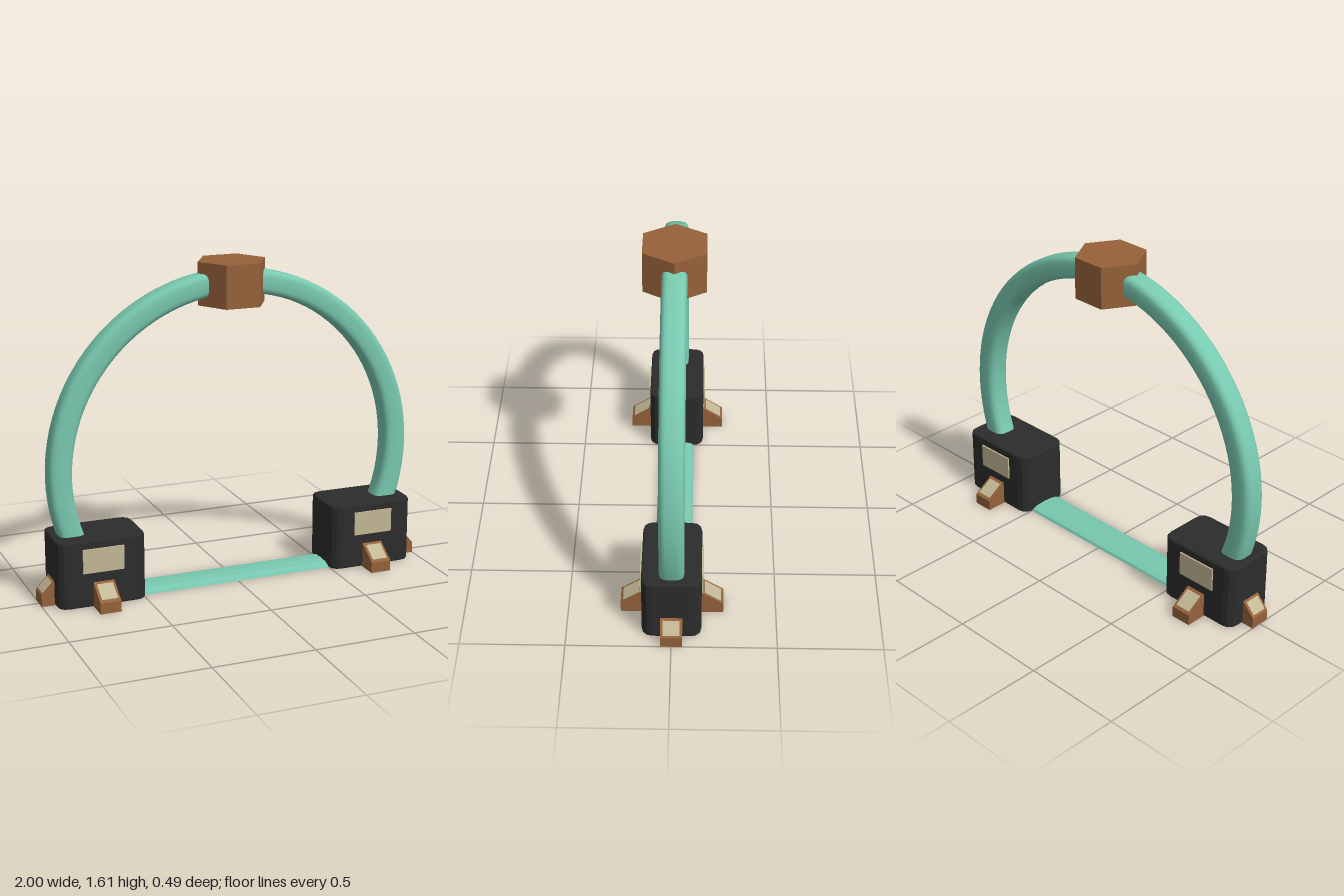
import * as THREE from 'three';

const mat = (name, color) => {
  const m = new THREE.MeshStandardMaterial({ color });
  m.name = name;
  return m;
};

export function createModel() {
  const teal = mat('teal', 0x78c8b0);
  const charcoal = mat('charcoal', 0x2c2c2c);
  const copper = mat('copper', 0x96623a);
  const cream = mat('cream', 0xc4b896);

  const model = new THREE.Group();
  model.name = 'archGate';
  const add = (parent, name, geometry, material, x = 0, y = 0, z = 0) => {
    const mesh = new THREE.Mesh(geometry, material);
    mesh.name = name;
    mesh.position.set(x, y, z);
    parent.add(mesh);
    return mesh;
  };

  // Arch: rounded-square section swept around most of a circle
  const section = [];
  const soften = (v) => Math.sign(v) * Math.pow(Math.abs(v), 0.6);
  for (let i = 0; i <= 24; i++) {
    const a = -Math.PI + (i / 24) * Math.PI * 2;
    section.push(new THREE.Vector2(0.885 + 0.06 * soften(Math.cos(a)), 0.06 * soften(Math.sin(a))));
  }
  const sweep = 2.28;
  const archGeo = new THREE.LatheGeometry(section, 72, -sweep, sweep * 2);
  archGeo.rotateX(-Math.PI / 2);
  add(model, 'arch', archGeo, teal, 0, 0.62, 0);

  // Hexagonal block at the crown
  const hex = new THREE.CylinderGeometry(0.173, 0.173, 0.21, 6).toNonIndexed();
  hex.computeVertexNormals();
  hex.rotateY(Math.PI / 6);
  add(model, 'crownBlock', hex, copper, 0, 1.5, 0);

  // Low threshold strip between the bases
  const strip = new THREE.Shape();
  strip.moveTo(-0.092, 0);
  strip.lineTo(0.092, 0);
  strip.lineTo(0.085, 0.012);
  strip.lineTo(0.058, 0.021);
  strip.lineTo(0, 0.025);
  strip.lineTo(-0.058, 0.021);
  strip.lineTo(-0.085, 0.012);
  strip.closePath();
  const stripGeo = new THREE.ExtrudeGeometry(strip, { depth: 1.1, bevelEnabled: false });
  stripGeo.translate(0, 0, -0.55);
  stripGeo.rotateY(Math.PI / 2);
  add(model, 'threshold', stripGeo, teal);

  // Base housing: rounded plan extruded upwards with a slight bevel
  const w = 0.21, d = 0.132, r = 0.045, b = 0.01;
  const plan = new THREE.Shape();
  plan.moveTo(-w + r, -d);
  plan.lineTo(w - r, -d);
  plan.quadraticCurveTo(w, -d, w, -d + r);
  plan.lineTo(w, d - r);
  plan.quadraticCurveTo(w, d, w - r, d);
  plan.lineTo(-w + r, d);
  plan.quadraticCurveTo(-w, d, -w, d - r);
  plan.lineTo(-w, -d + r);
  plan.quadraticCurveTo(-w, -d, -w + r, -d);
  const baseGeo = new THREE.ExtrudeGeometry(plan, {
    depth: 0.335 - 2 * b, bevelThickness: b, bevelSize: b, bevelSegments: 2, curveSegments: 3,
  });
  baseGeo.rotateX(-Math.PI / 2);
  baseGeo.translate(0, b, 0);

  // Wedge foot pointing along +z, with a cream plate on its slope
  function makeFoot(reach, plateWidth) {
    const foot = new THREE.Group();
    const side = new THREE.Shape();
    side.moveTo(-0.03, 0);
    side.lineTo(reach, 0);
    side.lineTo(reach, 0.055);
    side.lineTo(0, 0.125);
    side.lineTo(-0.03, 0.125);
    side.closePath();
    const wedge = new THREE.ExtrudeGeometry(side, { depth: 0.104, bevelEnabled: false });
    wedge.translate(0, 0, -0.052);
    wedge.rotateY(-Math.PI / 2);
    add(foot, 'wedge', wedge, copper);
    const slope = Math.hypot(reach, 0.07);
    const plate = add(foot, 'slopePlate', new THREE.BoxGeometry(plateWidth, 0.006, slope * 0.74),
      cream, 0, 0.09, reach / 2);
    plate.rotation.x = Math.atan2(0.07, reach);
    return foot;
  }

  for (const s of [1, -1]) {
    const base = new THREE.Group();
    base.name = s > 0 ? 'leftBase' : 'rightBase';
    base.position.x = s * 0.716;
    model.add(base);
    add(base, 'housing', baseGeo, charcoal);

    // Window and foot on the front and back
    for (const f of [1, -1]) {
      add(base, f > 0 ? 'frontWindow' : 'backWindow',
        new THREE.BoxGeometry(0.205, 0.12, 0.009), cream, 0, 0.235, f * 0.1455);
      const foot = makeFoot(0.105, 0.08);
      foot.name = f > 0 ? 'frontFoot' : 'backFoot';
      foot.position.z = f * 0.142;
      if (f < 0) foot.rotation.y = Math.PI;
      base.add(foot);
    }

    // Foot on the outer end
    const outer = makeFoot(0.064, 0.08);
    outer.name = 'outerFoot';
    outer.position.x = s * 0.22;
    outer.rotation.y = s * Math.PI / 2;
    base.add(outer);
  }
  return model;
}
